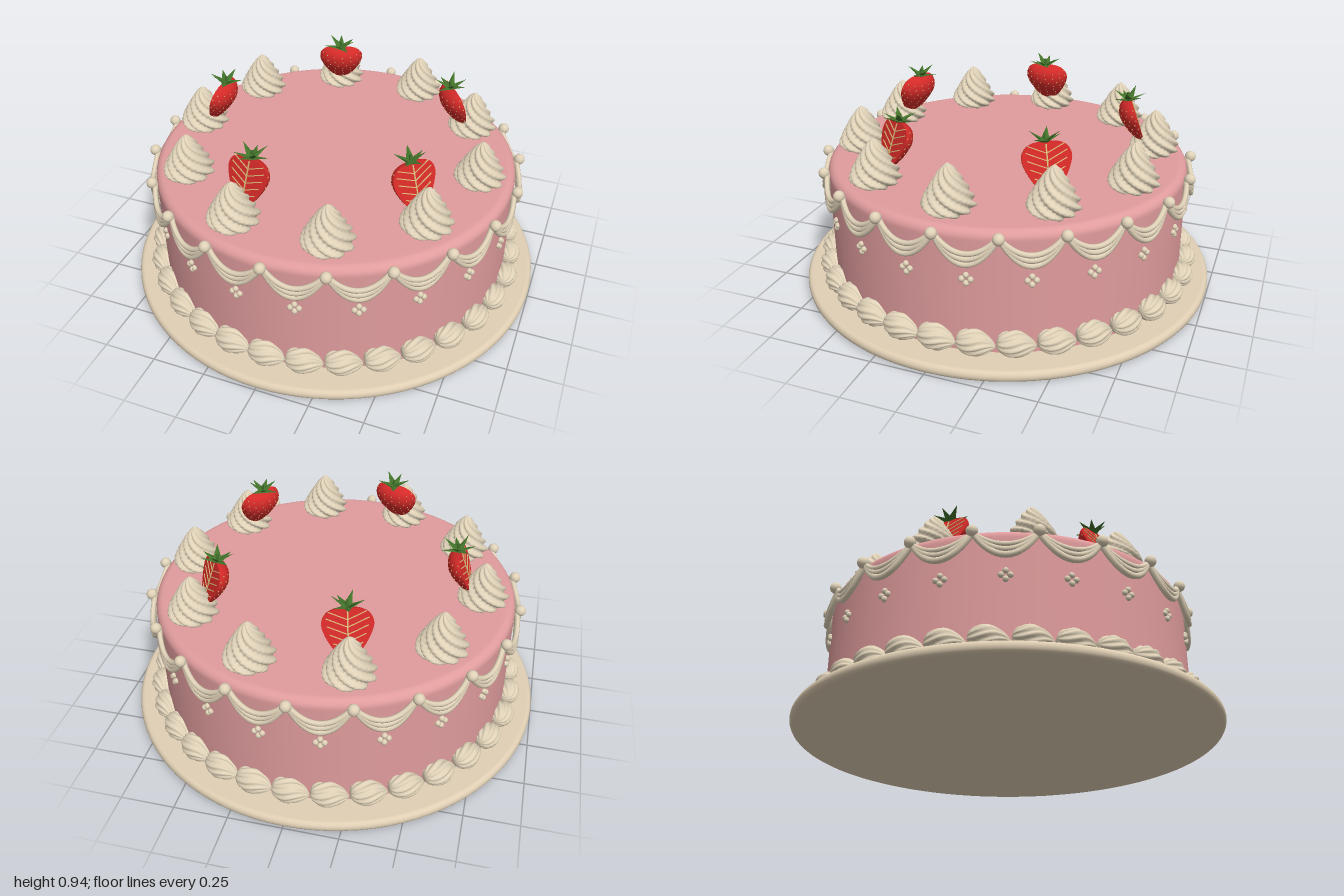
import * as THREE from 'three';
import { mergeVertices } from 'three/addons/utils/BufferGeometryUtils.js';

const mat = (name, color, side = THREE.FrontSide) => {
  const m = new THREE.MeshStandardMaterial({ color, side });
  m.name = name;
  return m;
};
const V2 = (x, y) => new THREE.Vector2(x, y);
const spline = (pts, n) =>
  new THREE.SplineCurve(pts.map((p) => V2(...p))).getPoints(n).map((p) => V2(Math.max(p.x, 0), p.y));

// Lathe with twisted piping ridges
function fluted(points, segments, flutes, depth, twist) {
  let g = new THREE.LatheGeometry(points, segments);
  const p = g.attributes.position;
  for (let i = 0; i < p.count; i++) {
    const a = Math.atan2(p.getX(i), p.getZ(i)) + twist * p.getY(i);
    const s = 1 - depth * (1 - Math.abs(Math.cos((a * flutes) / 2)));
    p.setX(i, p.getX(i) * s);
    p.setZ(i, p.getZ(i) * s);
  }
  g.deleteAttribute('uv');
  g.deleteAttribute('normal');
  g = mergeVertices(g, 1e-5);
  g.computeVertexNormals();
  return g;
}

export function createModel() {
  const root = new THREE.Group();
  root.name = 'cake';
  const pink = mat('pink frosting', 0xe09c9d);
  const cream = mat('cream icing', 0xe0d2b8);
  const board = mat('board', 0xe0cfb4);
  const red = mat('berry red', 0xd42a28);
  const seedMat = mat('seed', 0xdcb878);
  const green = mat('leaf green', 0x42722a);

  const add = (parent, name, geometry, material, x = 0, y = 0, z = 0) => {
    const m = new THREE.Mesh(geometry, material);
    m.name = name;
    m.position.set(x, y, z);
    parent.add(m);
    return m;
  };
  // Group turned about the vertical axis so that its +z points outward
  const spoke = (name, angle) => {
    const g = new THREE.Group();
    g.name = name;
    g.rotation.y = angle;
    root.add(g);
    return g;
  };

  // Board with rounded rim
  const rim = [V2(0, 0), V2(0.975, 0), V2(0.98, 0)];
  for (let i = 0; i <= 8; i++) {
    const a = -Math.PI / 2 + (i / 8) * Math.PI;
    rim.push(V2(0.98 + 0.02 * Math.cos(a), 0.025 + 0.025 * Math.sin(a)));
  }
  rim.push(V2(0.975, 0.05), V2(0, 0.05));
  add(root, 'board', new THREE.LatheGeometry(rim, 96), board);

  // Cake body with soft top edge
  const side = [V2(0.855, 0.045), V2(0.855, 0.57)];
  for (let i = 0; i <= 8; i++) {
    const a = (i / 8) * Math.PI / 2;
    side.push(V2(0.815 + 0.04 * Math.cos(a), 0.58 + 0.04 * Math.sin(a)));
  }
  side.push(V2(0.805, 0.62), V2(0, 0.62));
  add(root, 'cakeBody', new THREE.LatheGeometry(side, 96), pink);

  // Shell border around the foot
  const shellGeo = fluted(
    spline([[0, -0.08], [0.035, -0.07], [0.058, -0.025], [0.056, 0.02], [0.032, 0.065], [0, 0.095]], 12),
    50, 10, 0.22, 8);
  shellGeo.rotateZ(-Math.PI / 2);
  for (let i = 0; i < 32; i++) {
    const g = spoke('shell', (i / 32) * Math.PI * 2);
    add(g, 'shellIcing', shellGeo, cream, 0, 0.108, 0.875).rotation.z = -0.15;
  }

  // Three-strand swags, pearls and four-dot flowers
  const step = Math.PI / 10;
  const strands = [[0.07, 0.012], [0.094, 0.013], [0.118, 0.014]].map(([sag, r]) => {
    const pts = [];
    for (let i = 0; i <= 8; i++) {
      const u = i / 8, drop = 4 * u * (1 - u), a = u * step, rad = 0.864 + 0.016 * drop;
      pts.push(new THREE.Vector3(rad * Math.sin(a), 0.598 - sag * drop, rad * Math.cos(a)));
    }
    return new THREE.TubeGeometry(new THREE.CatmullRomCurve3(pts), 18, r, 8);
  });
  const pearl = new THREE.SphereGeometry(0.026, 14, 10);
  const dot = new THREE.SphereGeometry(0.0135, 10, 8);
  for (let i = 0; i < 20; i++) {
    const g = spoke('swag', i * step);
    strands.forEach((s) => add(g, 'swagStrand', s, cream));
    add(g, 'pearl', pearl, cream, 0, 0.6, 0.878);
    const f = spoke('dotFlower', (i + 0.5) * step);
    for (const [x, y] of [[0.019, 0], [-0.019, 0], [0, 0.019], [0, -0.019]])
      add(f, 'flowerDot', dot, cream, x, 0.4 + y, 0.858);
  }

  // Piped swirls on top
  const swirlGeo = fluted(
    spline([[0.08, -0.005], [0.118, 0.025], [0.108, 0.065], [0.08, 0.115], [0.052, 0.16], [0.025, 0.195], [0, 0.215]], 22),
    72, 8, 0.25, 17);
  for (let i = 0; i < 10; i++) {
    const g = spoke('swirl', Math.PI / 2 + i * 2 * step);
    add(g, 'swirlIcing', swirlGeo, cream, 0, 0.62, 0.7);
  }

  // Halved strawberries leaning on every other swirl, cut side outward
  const outline = spline(
    [[0, -0.12], [0.03, -0.107], [0.07, -0.062], [0.1, -0.005], [0.11, 0.04], [0.092, 0.08], [0.05, 0.1], [0, 0.1]], 20);
  const widthAt = (y) => {
    for (let i = 1; i < outline.length; i++) {
      const a = outline[i - 1], b = outline[i];
      if (y <= b.y) return a.x + ((b.x - a.x) * (y - a.y)) / (b.y - a.y || 1);
    }
    return 0;
  };
  const flat = 0.68;
  const domeGeo = new THREE.LatheGeometry(outline, 24, Math.PI / 2, Math.PI);
  domeGeo.scale(1, 1, flat);
  const mirrored = outline.slice(1, -1).reverse().map((p) => V2(-p.x, p.y));
  const cutGeo = new THREE.ShapeGeometry(new THREE.Shape([...outline, ...mirrored]));
  const seedGeo = new THREE.OctahedronGeometry(0.0042);
  seedGeo.scale(0.8, 1.3, 0.8);
  const leafGeo = new THREE.ConeGeometry(0.022, 0.085, 4).toNonIndexed();
  leafGeo.scale(1, 1, 0.35);
  leafGeo.translate(0, 0.0425, 0);
  leafGeo.computeVertexNormals();
  const stemGeo = new THREE.CylinderGeometry(0.005, 0.008, 0.04, 6);

  for (let k = 0; k < 5; k++) {
    const g = spoke('strawberry', Math.PI / 2 + (2 * k + 1) * 2 * step);
    const b = new THREE.Group();
    b.name = 'berry';
    b.position.set(0, 0.79, 0.612);
    b.rotation.x = -0.34;
    g.add(b);
    add(b, 'berryDome', domeGeo, red);
    add(b, 'berryCutFace', cutGeo, red);

    // Seeds in staggered rows on the dome
    for (let row = 0; row < 8; row++) {
      const y = -0.085 + row * 0.023, w = widthAt(y);
      const n = Math.max(3, Math.round(w * 75));
      for (let j = 0; j < n; j++) {
        const a = Math.PI * (1 + (j + (row % 2 ? 0.3 : 0.7)) / n);
        add(b, 'seed', seedGeo, seedMat, w * Math.cos(a), y, w * flat * Math.sin(a));
      }
    }

    // Veins on the cut face
    add(b, 'midVein', new THREE.BoxGeometry(0.006, 0.18, 0.004), seedMat, 0, 0, 0.001);
    for (let j = 0; j < 5; j++) {
      const y = -0.075 + j * 0.032, len = widthAt(y + 0.02) * 0.9;
      for (const s of [-1, 1]) {
        const v = add(b, 'sideVein', new THREE.BoxGeometry(len, 0.004, 0.004), seedMat, s * len * 0.46, y + len * 0.2, 0.001);
        v.rotation.z = s * 0.42;
      }
    }

    // Leafy crown and stem
    const crown = new THREE.Group();
    crown.name = 'crown';
    crown.position.set(0, 0.098, -0.012);
    crown.rotation.x = 0.2;
    b.add(crown);
    for (let j = 0; j < 7; j++) {
      const holder = new THREE.Group();
      holder.name = 'leaf';
      holder.rotation.y = (j / 7) * Math.PI * 2;
      crown.add(holder);
      add(holder, 'leafBlade', leafGeo, green, 0, 0.004, 0).rotation.x = j % 2 ? 0.95 : 1.3;
    }
    add(crown, 'stem', stemGeo, green, 0, 0.02, 0);
  }
  return root;
}
